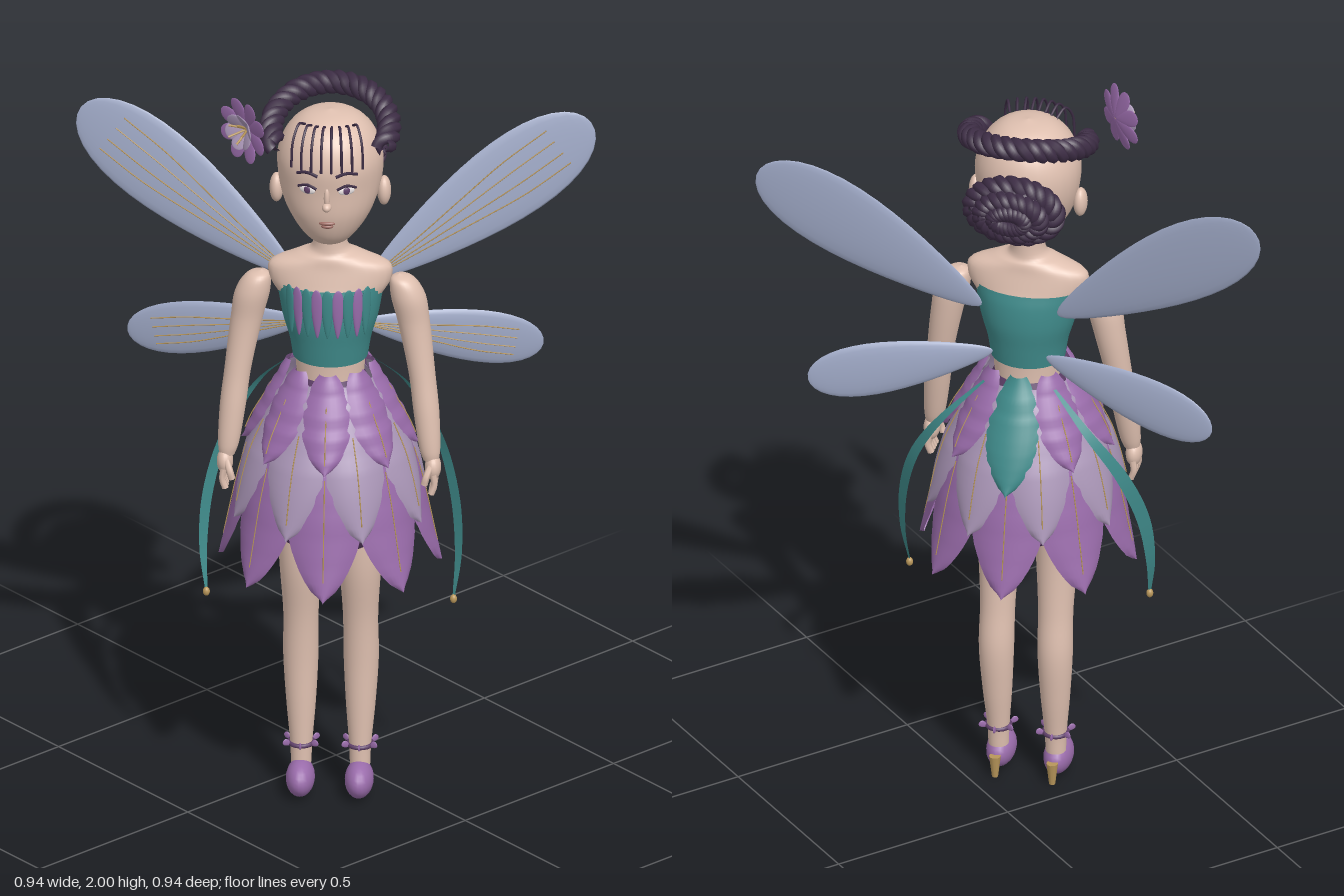
import * as THREE from 'three';
import { mergeVertices } from 'three/addons/utils/BufferGeometryUtils.js';

const V = (x, y, z) => new THREE.Vector3(x, y, z);
const mat = (name, color, open) => {
  const m = new THREE.MeshStandardMaterial({ color });
  m.name = name;
  if (open) m.side = THREE.DoubleSide;
  return m;
};

export function createModel() {
  const skin = mat('skin', 0xdfc0b0), hair = mat('hair', 0x3d2d45), purple = mat('purple', 0x9a6cab, true),
    lavender = mat('lavender', 0xab97b8, true), plum = mat('plum', 0x5f4069, true), teal = mat('teal', 0x3f8a8a, true),
    wingBlue = mat('wing blue', 0x9fa9c6), gold = mat('gold', 0xb8965a), white = mat('eye white', 0xeee6e6),
    lip = mat('lip', 0x9c6a62);

  const root = new THREE.Group();
  root.name = 'fairyDoll';
  const doll = new THREE.Group();
  doll.name = 'doll';
  doll.rotation.y = Math.PI / 4;
  doll.position.set(0.15, 0, 0.15);
  root.add(doll);

  const add = (name, geo, material, parent = doll) => {
    const m = new THREE.Mesh(geo, material);
    m.name = name;
    parent.add(m);
    return m;
  };
  const ball = (name, material, p, r, parent) => {
    const m = add(name, new THREE.SphereGeometry(1, 20, 14), material, parent);
    m.position.set(...p);
    m.scale.set(...r);
    return m;
  };
  const tube = (name, material, pts, r, parent, n = 16) =>
    add(name, new THREE.TubeGeometry(new THREE.CatmullRomCurve3(pts), n, r, 6), material, parent);

  // Smooth body from elliptical sections [y, rx, rz, cx, cz]
  const loft = (name, material, rows, mirror = 1) => {
    const size = new THREE.CatmullRomCurve3(rows.map(r => V(r[1], r[0], r[2])));
    const mid = new THREE.CatmullRomCurve3(rows.map(r => V((r[3] || 0) * mirror, r[0], r[4] || 0)));
    const n = rows.length * 5, a = [], c = [];
    for (let i = 0; i <= n; i++) { a.push(size.getPoint(i / n)); c.push(mid.getPoint(i / n)); }
    let g = new THREE.LatheGeometry(a.map(p => new THREE.Vector2(1, p.y)), 28);
    const p = g.attributes.position;
    for (let i = 0; i < p.count; i++) {
      const j = i % (n + 1);
      p.setX(i, p.getX(i) * Math.max(a[j].x, 0.0005) + c[j].x);
      p.setZ(i, p.getZ(i) * Math.max(a[j].z, 0.0005) + c[j].z);
    }
    g.deleteAttribute('uv');
    g.deleteAttribute('normal');
    g = mergeVertices(g, 1e-5);
    g.computeVertexNormals();
    return add(name, g, material);
  };

  // Lens-shaped blade growing along +x
  const bladeWidth = t => 0.45 + 0.75 * t;
  const blade = (len, wid, thick) => {
    const g = new THREE.SphereGeometry(1, 20, 20).rotateZ(-Math.PI / 2), p = g.attributes.position;
    for (let i = 0; i < p.count; i++) {
      const t = (p.getX(i) + 1) / 2, k = bladeWidth(t);
      p.setXYZ(i, t * len, p.getY(i) * wid * k, p.getZ(i) * thick);
    }
    g.computeVertexNormals();
    return g;
  };

  // Twisted rope of three strands along a curve
  const rope = (name, curve, r, turns, closed) => {
    const n = 120, f = curve.computeFrenetFrames(n, closed);
    for (let k = 0; k < 3; k++) {
      const pts = [];
      for (let i = 0; i <= n; i++) {
        const a = (i / n) * turns * 2 * Math.PI + k * 2.094;
        pts.push(curve.getPoint(i / n).addScaledVector(f.normals[i], r * Math.cos(a)).addScaledVector(f.binormals[i], r * Math.sin(a)));
      }
      add(name, new THREE.TubeGeometry(new THREE.CatmullRomCurve3(pts), 200, r * 0.98, 7), hair);
    }
  };

  // Torso, neck and head
  loft('torso', skin, [[1.12, 0.08, 0.08], [1.22, 0.088, 0.08], [1.3, 0.095, 0.085], [1.4, 0.12, 0.085], [1.46, 0.155, 0.07],
    [1.5, 0.155, 0.06], [1.53, 0.09, 0.055], [1.55, 0.048, 0.046], [1.64, 0.045, 0.045]]);
  loft('head', skin, [[1.575, 0, 0, 0, 0.03], [1.585, 0.04, 0.04, 0, 0.03], [1.62, 0.077, 0.085, 0, 0.02], [1.68, 0.112, 0.115, 0, 0.012],
    [1.75, 0.132, 0.132], [1.82, 0.134, 0.136], [1.88, 0.111, 0.115], [1.92, 0.068, 0.07], [1.936, 0, 0]]);

  // Face
  const faceZ = x => 0.136 * Math.sqrt(1 - (x / 0.133) ** 2);
  for (const s of [-1, 1]) {
    const side = s > 0 ? 'left' : 'right', x = 0.05 * s;
    const turn = s * 0.4;
    ball(side + 'Eye', white, [x, 1.765, faceZ(x) - 0.001], [0.022, 0.011, 0.005]).rotation.y = turn;
    ball(side + 'Iris', plum, [x, 1.766, faceZ(x) + 0.002], [0.01, 0.01, 0.004]).rotation.y = turn;
    const line = (name, y, h, w, r) => tube(side + name, hair,
      [-1, 0, 1].map(k => V(s * (0.05 + k * w), y + (k ? 0 : h), faceZ(0.05 + k * w) + 0.003)), r);
    line('Lash', 1.772, 0.009, 0.024, 0.0035);
    line('Brow', 1.808, 0.008, 0.027, 0.004);
    ball(side + 'Ear', skin, [0.137 * s, 1.71, 0], [0.018, 0.04, 0.026]);
  }
  ball('nose', skin, [0, 1.722, 0.136], [0.012, 0.012, 0.016]);
  ball('noseBridge', skin, [0, 1.745, 0.13], [0.008, 0.03, 0.011]);
  ball('upperLip', lip, [0, 1.67, 0.122], [0.021, 0.006, 0.008]);
  ball('lowerLip', lip, [0, 1.661, 0.12], [0.016, 0.006, 0.009]);

  // Crown braid, coiled bun and fringe strands
  const crown = [];
  for (let i = 0; i <= 16; i++) {
    const a = -0.42 + (i / 16) * (Math.PI + 0.84), z = -0.155 * Math.sin(a);
    crown.push(V(0.15 * Math.cos(a), 1.88 - 0.36 * z, z));
  }
  rope('crownBraid', new THREE.CatmullRomCurve3(crown), 0.016, 7, false);
  ball('bunCore', hair, [0, 1.75, -0.15], [0.115, 0.08, 0.06]);
  [[0.105, 0.068, -0.15, 0.016], [0.075, 0.046, -0.185, 0.014], [0.04, 0.022, -0.2, 0.012]].forEach(([rx, ry, z, r]) => {
    const pts = [];
    for (let i = 0; i < 20; i++) pts.push(V(rx * Math.cos(i * Math.PI / 10), 1.75 + ry * Math.sin(i * Math.PI / 10), z));
    rope('bunCoil', new THREE.CatmullRomCurve3(pts, true), r, 7, true);
  });
  for (let i = 0; i < 8; i++) {
    const x = -0.088 + i * 0.0251, z = faceZ(x) + 0.01;
    tube('fringeStrand', hair, [V(x * 0.7, 1.915, z * 0.45), V(x * 0.85, 1.93, z * 0.75), V(x, 1.893, z), V(x * 1.04, 1.825, z + 0.006)], 0.0035);
  }

  // Flower beside the head
  const flower = new THREE.Group();
  flower.name = 'hairFlower';
  flower.position.set(-0.205, 1.915, 0.09);
  flower.rotation.y = -Math.PI / 4;
  doll.add(flower);
  for (let i = 0; i < 14; i++) {
    const inner = i > 7, a = inner ? (i - 8) * Math.PI / 3 + 0.3 : i * Math.PI / 4 + Math.PI / 8;
    const petal = add('flowerPetal', blade(inner ? 0.06 : 0.09, 0.025, 0.004), inner ? lavender : purple, flower);
    petal.rotation.set(0, inner ? -0.6 : -0.2, a, 'ZYX');
  }
  for (let i = 0; i < 5; i++) {
    const x = 0.02 * Math.cos(i * 1.257), y = 0.02 * Math.sin(i * 1.257);
    tube('stamen', gold, [V(0, 0, 0), V(x, y, 0.03), V(x * 1.4, y * 1.4, 0.045)], 0.003, flower);
  }

  // Bodice with a petal-trimmed neckline
  loft('bodice', teal, [[1.245, 0.096, 0.088], [1.3, 0.105, 0.094], [1.36, 0.122, 0.1], [1.42, 0.133, 0.095], [1.455, 0.14, 0.085]]);
  for (let i = -4; i <= 4; i++) {
    const a = i * 0.2, petal = add('necklinePetal', blade(0.14, 0.017, 0.006), i % 2 ? purple : teal);
    petal.position.set(0.13 * Math.sin(a), 1.335, 0.107 * Math.cos(a));
    petal.rotation.set(0.06, a, Math.PI / 2, 'YXZ');
  }

  // Petal skirt wrapped on a flared profile
  const flare = new THREE.SplineCurve([[0.285, 0.67], [0.268, 0.75], [0.247, 0.85], [0.225, 0.95], [0.19, 1.05], [0.14, 1.15], [0.095, 1.23]]
    .map(p => new THREE.Vector2(...p))).getPoints(60);
  const radiusAt = y => (flare.find(p => p.y >= y) || flare[60]).x;
  const skirtPoint = (angle, y, off) => V((radiusAt(y) + off) * Math.sin(angle), y, (radiusAt(y) + off) * Math.cos(angle));
  const skirtPetal = (name, material, angle, top, tip, half, off) => {
    const g = new THREE.PlaneGeometry(1, 1, 10, 18), p = g.attributes.position;
    for (let i = 0; i < p.count; i++) {
      const t = 0.5 - p.getY(i), u = p.getX(i) * 2;
      const w = half * Math.pow(Math.sin(Math.PI * (0.12 + 0.88 * Math.pow(t, 0.8))), 0.7);
      const q = skirtPoint(angle + u * (t > 0.999 ? 0 : w), top + (tip - top) * t, off - 0.012 * u * u);
      p.setXYZ(i, q.x, q.y, q.z);
    }
    g.computeVertexNormals();
    add(name, g, material);
    const vein = [0.3, 0.5, 0.7, 0.88].map(t => skirtPoint(angle, top + (tip - top) * t, off + 0.001));
    if (material !== teal) tube('petalVein', gold, vein, 0.0015);
  };
  for (let i = 0; i < 8; i++) {
    const a = i * Math.PI / 4;
    skirtPetal('lowerSkirtPetal', purple, a, 1.12, 0.67, 0.5, 0);
    skirtPetal('middleSkirtPetal', lavender, a + Math.PI / 8, 1.2, 0.82, 0.46, 0.008);
    skirtPetal('upperSkirtPetal', i === 4 ? teal : purple, a, 1.23, i === 4 ? 0.95 : 1.0, 0.42, 0.018);
  }
  loft('underskirt', plum, [[0.72, 0, 0], [0.73, 0.11, 0.11], [0.79, 0.175, 0.175], [0.88, 0.2, 0.2], [1, 0.175, 0.175], [1.12, 0.12, 0.12], [1.2, 0.085, 0.085]]);

  for (const s of [-1, 1]) {
    const side = s > 0 ? 'left' : 'right';

    // Arms and hands
    loft(side + 'Arm', skin, [[0.975, 0.02, 0.02, 0.26, 0.048], [1.0, 0.026, 0.026, 0.257, 0.045], [1.1, 0.033, 0.034, 0.247, 0.03],
      [1.2, 0.034, 0.036, 0.235, 0.015], [1.34, 0.041, 0.041, 0.213, 0], [1.42, 0.044, 0.044, 0.197, 0], [1.462, 0.03, 0.032, 0.183, 0], [1.475, 0, 0, 0.175, 0]], s);
    ball(side + 'Palm', skin, [0.265 * s, 0.955, 0.05], [0.021, 0.035, 0.031]);
    for (let k = 0; k < 4; k++) {
      const z = 0.027 + k * 0.016;
      tube(side + 'Finger', skin, [V(0.267 * s, 0.945, z), V(0.27 * s, 0.915, z), V(0.262 * s, 0.89, z + 0.002)], 0.009);
    }
    tube(side + 'Thumb', skin, [V(0.26 * s, 0.965, 0.07), V(0.25 * s, 0.94, 0.085), V(0.245 * s, 0.92, 0.085)], 0.009);

    // Legs, anklets and heeled shoes
    loft(side + 'Leg', skin, [[0.08, 0.026, 0.028, 0.075, -0.01], [0.13, 0.028, 0.03, 0.075, -0.012], [0.25, 0.038, 0.04, 0.076, -0.02],
      [0.38, 0.045, 0.047, 0.077, -0.025], [0.5, 0.045, 0.046, 0.076, -0.015], [0.65, 0.054, 0.056, 0.076, 0], [0.82, 0.062, 0.064, 0.076, 0]], s);
    ball(side + 'Shoe', purple, [0.075 * s, 0.05, 0.02], [0.037, 0.047, 0.066]);
    const heel = add(side + 'Heel', new THREE.CylinderGeometry(0.015, 0.008, 0.06, 10), gold);
    heel.position.set(0.075 * s, 0.03, -0.048);
    const anklet = add(side + 'Anklet', new THREE.TorusGeometry(0.03, 0.006, 8, 20).rotateX(Math.PI / 2), plum);
    anklet.position.set(0.075 * s, 0.135, -0.012);
    for (let k = 0; k < 6; k++) {
      const leaf = add(side + 'AnkletPetal', blade(0.025, 0.01, 0.003), purple);
      leaf.position.set(0.075 * s + 0.03 * Math.sin(k * 1.047), 0.132, -0.012 + 0.03 * Math.cos(k * 1.047));
      leaf.rotation.set(0, k * 1.047 - Math.PI / 2, 0.6, 'YXZ');
    }

    // Wings with fine veins on the front face
    [['UpperWing', V(0.1, 1.42, -0.09), V(0.65, 1.815, -0.212), 0.122], ['LowerWing', V(0.07, 1.29, -0.09), V(0.53, 1.195, -0.19), 0.083]].forEach(([name, a, b, wid]) => {
      a.x *= s;
      b.x *= s;
      const len = a.distanceTo(b), X = b.clone().sub(a).normalize();
      const Z = V(0, 0, s).addScaledVector(X, -s * X.z).normalize(), Y = Z.clone().cross(X);
      const wing = new THREE.Group();
      wing.name = side + name;
      wing.applyMatrix4(new THREE.Matrix4().makeBasis(X, Y, Z).setPosition(a));
      doll.add(wing);
      add('wingMembrane', blade(len, wid, 0.013), wingBlue, wing);
      for (const v of [-0.65, -0.25, 0.2, 0.62]) {
        const pts = [0.06, 0.25, 0.45, 0.65, 0.85].map(t => {
          const h = Math.sqrt(1 - (2 * t - 1) ** 2), k = v * (0.3 + 0.7 * t);
          return V(t * len, k * wid * h * bladeWidth(t), s * (0.013 * h * Math.sqrt(1 - k * k) + 0.0005));
        });
        tube('wingVein', gold, pts, 0.0016, wing);
      }
    });

    // Trailing ribbons with bead ends
    const path = new THREE.CatmullRomCurve3([V(0.09 * s, 1.2, -0.09), V(0.19 * s, 1.1, -0.13), V(0.27 * s, 0.97, -0.1),
      V(0.315 * s, 0.82, -0.05), V(0.325 * s, 0.68, -0.015), V(0.315 * s, 0.57, 0.015)]);
    const g = new THREE.PlaneGeometry(1, 1, 1, 30), p = g.attributes.position;
    for (let i = 0; i < p.count; i++) {
      const t = 0.5 - p.getY(i), q = path.getPoint(t), w = p.getX(i) * 2 * (0.004 + 0.016 * Math.sin(Math.PI * t));
      p.setXYZ(i, q.x + 0.7 * s * w, q.y, q.z + 0.7 * w);
    }
    g.computeVertexNormals();
    add(side + 'Ribbon', g, teal);
    ball(side + 'RibbonBead', gold, [0.315 * s, 0.565, 0.015], [0.009, 0.012, 0.009]);
  }
  return root;
}
